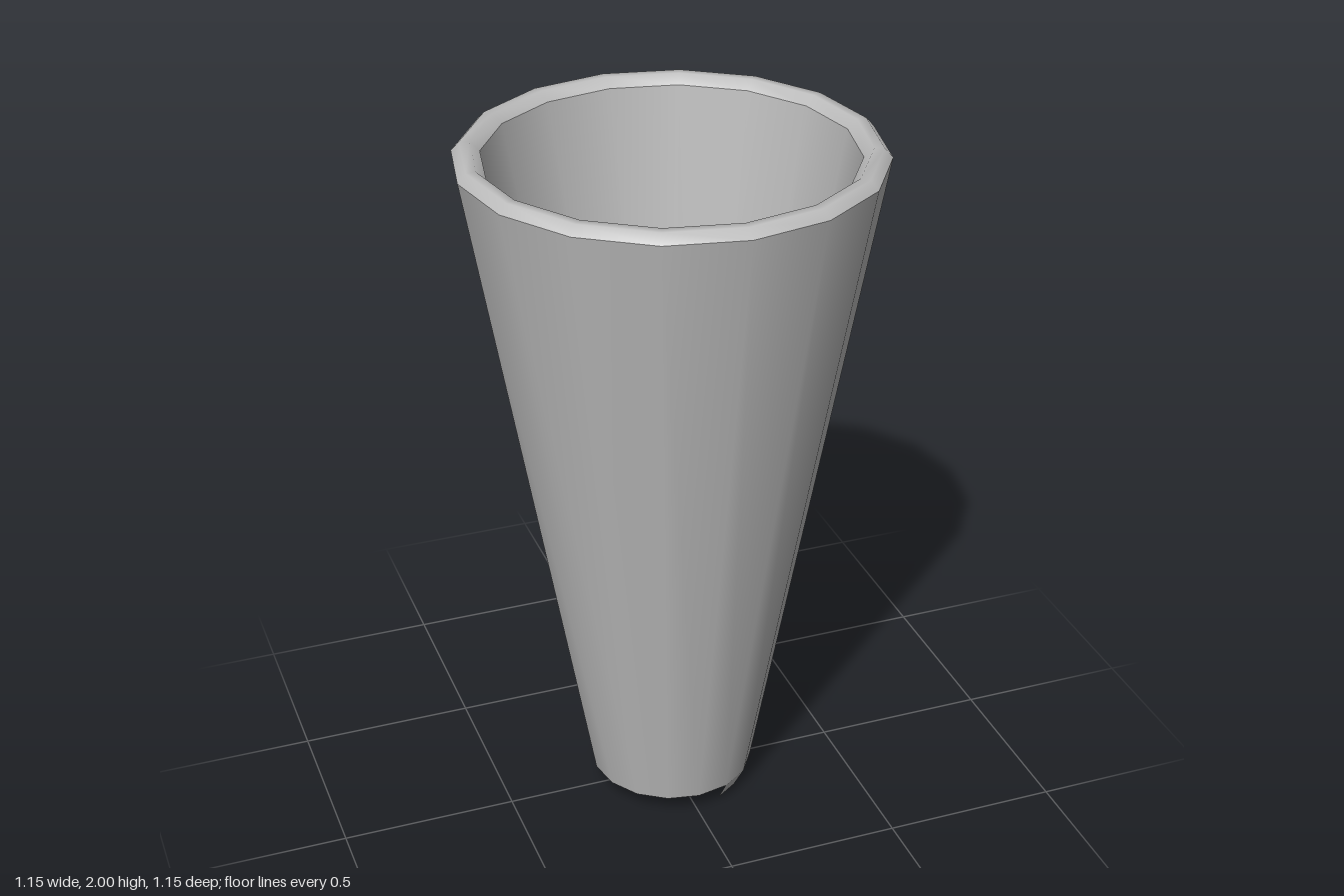
import * as THREE from 'three';

const SIDES = 16;

export function createModel() {
  const group = new THREE.Group();
  const gray = new THREE.MeshStandardMaterial({ color: 0xbcbcbc, side: THREE.DoubleSide });
  gray.name = 'plain gray';

  // Revolves a profile of [radius, height] pairs around the y axis
  const addTurned = (name, profile, sides = SIDES, start = 0) => {
    const points = profile.map(([r, y]) => new THREE.Vector2(r, y));
    const step = (Math.PI * 2) / SIDES;
    const mesh = new THREE.Mesh(new THREE.LatheGeometry(points, sides, start * step, sides * step), gray);
    mesh.name = name;
    group.add(mesh);
  };

  // Tapered outer wall
  addTurned('outerWall', [[0.236, 0.06], [0.575, 1.975]]);

  // Softly rounded lip
  addTurned('rim', [[0.575, 1.975], [0.552, 2], [0.525, 2], [0.499, 1.975]]);

  // Inner wall running down into the floor
  addTurned('innerWall', [[0.499, 1.975], [0.19, 0.165], [0.179, 0.105], [0, 0.105]]);

  // Sloped ring under the cup, from the floor out to the wall
  addTurned('undersideRing', [[0.179, 0.105], [0.236, 0.06]]);

  // Partial foot left along five of the sides
  addTurned('footSegment', [[0.206, 0], [0.236, 0.06]], 5, 1);

  return group;
}
